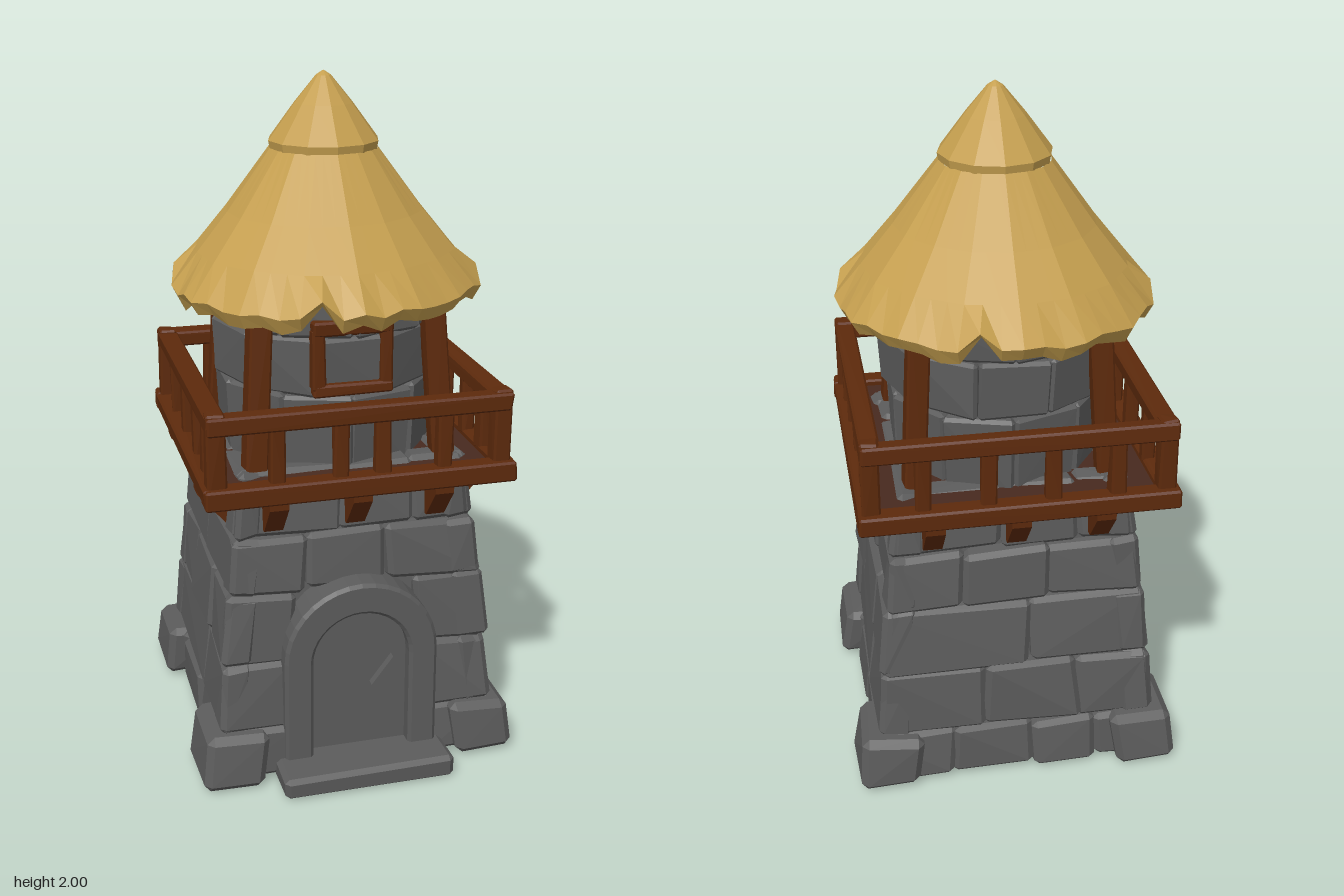
import * as THREE from 'three';
import { ConvexGeometry } from 'three/addons/geometries/ConvexGeometry.js';

export function createModel() {
  const model = new THREE.Group();
  model.name = 'watchtower';
  const tower = new THREE.Group();
  tower.name = 'tower';
  tower.position.z = -0.043;
  model.add(tower);

  const material = (name, color, side = THREE.FrontSide) =>
    new THREE.MeshStandardMaterial({ name, color, side });
  const stone = material('stone', 0x5c5c5c, THREE.DoubleSide);
  const wood = material('wood', 0x5d2a0c);
  const floorWood = material('darkFloorWood', 0x482a1f);
  const thatch = material('thatch', 0xc59f4f);

  let seed = 7;
  const rand = () => (seed = (seed * 16807) % 2147483647) / 2147483647;
  const jit = (a) => (rand() - 0.5) * 2 * a;

  const group = (name, parent = tower) => {
    const g = new THREE.Group();
    g.name = name;
    parent.add(g);
    return g;
  };
  const add = (parent, name, geo, mat) => {
    const flat = geo.index ? geo.toNonIndexed() : geo;
    flat.computeVertexNormals();
    const mesh = new THREE.Mesh(flat, mat);
    mesh.name = name;
    parent.add(mesh);
  };

  // Chamfered, slightly irregular block; map bends it into place
  const straight = (x, y, z) => new THREE.Vector3(x, y, z);
  function block(lo, hi, bevel, wobble, map = straight) {
    const points = [];
    for (let corner = 0; corner < 8; corner++) {
      const s = [corner & 1, (corner >> 1) & 1, (corner >> 2) & 1];
      const off = new THREE.Vector3(jit(wobble), jit(wobble), jit(wobble));
      for (let full = 0; full < 3; full++) {
        const c = s.map((side, k) => {
          const inset = k === full ? 0 : bevel[k];
          return side ? hi[k] - inset : lo[k] + inset;
        });
        points.push(map(...c).add(off));
      }
    }
    return new ConvexGeometry(points);
  }
  const beam = (parent, name, lo, hi, mat = wood) =>
    add(parent, name, block(lo, hi, [0.006, 0.006, 0.006], 0.003), mat);

  // Square lower tower: hollow core and four walls of tapered courses
  const half = (y) => 0.43 - 0.08 * y - 0.02 * y * y;
  const core = new THREE.CylinderGeometry((half(0.9) - 0.035) * Math.SQRT2,
    (half(0) - 0.035) * Math.SQRT2, 0.89, 4, 1, true);
  core.rotateY(Math.PI / 4).translate(0, 0.46, 0);
  add(tower, 'lowerCore', core, stone);

  const courses = [0.015, 0.165, 0.37, 0.575, 0.745, 0.935];
  const splits = [
    [[-1, -0.45, 0.1, 0.55, 1], [-1, -0.25, 0.45, 1], [-1, 0.1, 1], [-1, -0.4, 0.25, 1], [-1, -0.1, 0.5, 1]],
    [[-1, -0.5, 0.15, 1], [-1, 0.3, 1], [-1, -0.35, 0.4, 1], [-1, 0.05, 1], [-1, -0.45, 0.3, 1]],
  ];
  const wallMap = (u, y, d) => new THREE.Vector3(u * half(y), y, half(y) - d);
  for (let side = 0; side < 4; side++) {
    const wall = group(['frontWall', 'leftWall', 'backWall', 'rightWall'][side]);
    wall.rotation.y = side * Math.PI / 2;
    for (let c = 0; c < 5; c++) {
      const doorway = side === 0 && c < 3;
      const cuts = doorway ? [-1, -0.48, 0.48, 1] : splits[side % 2][c];
      for (let i = 0; i + 1 < cuts.length; i++) {
        if (doorway && i === 1) continue;
        const out = jit(0.006) + (c === 4 ? 0.008 : 0);
        add(wall, 'wallStone', block([cuts[i], courses[c], out], [cuts[i + 1], courses[c + 1], 0.09],
          [0.04, 0.014, 0.014], 0.008, wallMap), stone);
      }
    }
  }

  // Big footing stones at the corners
  const footings = group('footings');
  for (const sx of [-1, 1]) for (const sz of [-1, 1]) {
    const map = (x, y, z) => new THREE.Vector3(sx * (x - y * 0.12), y, sz * (z - y * 0.1));
    add(footings, 'cornerFooting', block([0.3, 0.008, 0.235], [0.482, 0.17, 0.468],
      [0.02, 0.02, 0.02], 0.006, map), stone);
  }

  // Arched doorway, door, handle and step
  const entrance = group('entrance');
  const extrude = (shape, depth, z, bevel) => new THREE.ExtrudeGeometry(shape, {
    depth, curveSegments: 9, bevelEnabled: bevel > 0, bevelSize: bevel,
    bevelThickness: bevel, bevelOffset: -bevel, bevelSegments: 1,
  }).translate(0, 0, z);
  const surround = new THREE.Shape();
  surround.moveTo(0.145, 0.01).lineTo(0.23, 0.01).lineTo(0.23, 0.38);
  surround.absarc(0, 0.38, 0.23, 0, Math.PI, false);
  surround.lineTo(-0.23, 0.01).lineTo(-0.145, 0.01).lineTo(-0.145, 0.37);
  surround.absarc(0, 0.37, 0.145, Math.PI, 0, true);
  add(entrance, 'doorSurround', extrude(surround, 0.14, 0.295, 0.01), stone);
  const door = new THREE.Shape();
  door.moveTo(-0.16, 0.01).lineTo(0.16, 0.01).lineTo(0.16, 0.37);
  door.absarc(0, 0.37, 0.16, 0, Math.PI, false);
  add(entrance, 'door', extrude(door, 0.09, 0.31, 0), stone);
  const handle = new THREE.Shape([[0.09, 0.21], [0.115, 0.2], [0.125, 0.3], [0.1, 0.355], [0.035, 0.27]]
    .map((p) => new THREE.Vector2(...p)));
  add(entrance, 'doorHandle', extrude(handle, 0.03, 0.395, 0), stone);
  add(entrance, 'doorStep', block([-0.255, 0, 0.37], [0.255, 0.068, 0.555],
    [0.015, 0.012, 0.015], 0.003), stone);

  // Round upper tower: core and rings of curved stones
  const upper = group('upperTower');
  const upperCore = new THREE.CylinderGeometry(0.31, 0.29, 0.54, 20, 1, true);
  add(upper, 'upperCore', upperCore.translate(0, 1.17, 0), stone);
  const rows = [0.91, 1.14, 1.31, 1.43];
  const arcMap = (a, y, d) => {
    const r = 0.322 + (y - 0.95) * 0.05 - d;
    return new THREE.Vector3(r * Math.sin(a), y, r * Math.cos(a));
  };
  const arc = Math.PI / 5;
  for (let r = 0; r < 3; r++) for (let i = 0; i < 10; i++) {
    const a = (i - 0.5 + (r % 2 ? 0 : 0.5)) * arc;
    const out = jit(0.006);
    add(upper, 'ringStone', block([a, rows[r], out], [a + arc, rows[r + 1], 0.07],
      [0.03, 0.01, 0.01], 0.005, arcMap), stone);
  }

  // Window frame
  const windowGroup = group('window');
  beam(windowGroup, 'windowSill', [-0.118, 1.15, 0.28], [0.112, 1.185, 0.348]);
  beam(windowGroup, 'windowLintel', [-0.118, 1.325, 0.28], [0.112, 1.365, 0.348]);
  for (const x of [-0.1, 0.094]) {
    beam(windowGroup, 'windowJamb', [x - 0.019, 1.17, 0.28], [x + 0.019, 1.34, 0.345]);
  }

  // Leaning posts that carry the roof
  const posts = group('roofPosts');
  for (const sx of [-1, 1]) for (const sz of [-1, 1]) {
    const map = (x, y, z) => {
      const lean = 0.277 - (y - 0.93) * 0.06;
      return new THREE.Vector3(sx * (lean + x), y, sz * (lean + z) + 0.008);
    };
    add(posts, 'roofPost', block([-0.032, 0.92, -0.032], [0.032, 1.42, 0.032],
      [0.006, 0.006, 0.006], 0.003, map), wood);
  }

  // Balcony: floor, then beam, rail, balusters and braces on each side
  const balcony = group('balcony');
  beam(balcony, 'balconyFloor', [-0.42, 0.9, -0.43], [0.42, 0.925, 0.43], floorWood);
  const brace = new THREE.Shape([[0.3, 0.77], [0.36, 0.77], [0.44, 0.865], [0.44, 0.895], [0.385, 0.895], [0.3, 0.82]]
    .map((p) => new THREE.Vector2(...p)));
  const sides = [
    { name: 'frontBalcony', balusters: [-0.24, -0.06, 0.06, 0.24], braces: [-0.24, 0, 0.24] },
    { name: 'leftBalcony', balusters: [-0.29, -0.145, 0.045, 0.235], braces: [-0.24, 0.22] },
    { name: 'backBalcony', balusters: [-0.27, -0.09, 0.09, 0.27], braces: [-0.24, 0, 0.24] },
    { name: 'rightBalcony', balusters: [-0.235, -0.045, 0.145, 0.29], braces: [-0.22, 0.24] },
  ];
  sides.forEach(({ name, balusters, braces }, side) => {
    const edge = group(name, balcony);
    edge.rotation.y = side * Math.PI / 2;
    const ends = side % 2; // left and right sides run between the longer ones
    const l = ends ? 0.445 : 0.45;
    const o = ends ? 0 : 0.01;
    beam(edge, 'floorBeam', [-l, 0.89, 0.388 + o], [l, 0.945, 0.45 + o]);
    beam(edge, 'handRail', [-l + 0.015, 1.1, 0.38 + o], [l - 0.015, 1.15, 0.437 + o]);
    beam(edge, 'cornerPost', [0.385, 0.92, 0.385], [0.437, 1.158, 0.437]);
    for (const x of balusters) {
      beam(edge, 'baluster', [x - 0.022, 0.93, 0.388 + o], [x + 0.022, 1.11, 0.428 + o]);
    }
    for (const x of braces) {
      add(edge, 'brace', extrude(brace, 0.055, -0.0275, 0).rotateY(-Math.PI / 2).translate(x, 0, 0), wood);
    }
  });

  // Thatched roof: broad uneven facets, ragged rim and narrow splits
  const roof = group('roof');
  const FACETS = 16;
  const SEG = FACETS * 3;
  const profile = [[0.2, 1.62], [0.3, 1.5], [0.4, 1.385], [0.43, 1.36], [0.453, 1.4], [0.376, 1.5],
    [0.285, 1.612], [0.157, 1.787]].map((p) => new THREE.Vector2(...p));
  const bulge = Array.from({ length: FACETS }, () => jit(0.022));
  const ragged = Array.from({ length: SEG }, (_, i) => (i % 12 === 10 ? 0.065 : jit(0.016)));
  const thatchGeo = new THREE.LatheGeometry(profile, SEG);
  const pos = thatchGeo.attributes.position;
  for (let v = 0; v < pos.count; v++) {
    const i = Math.floor(v / profile.length) % SEG;
    const ring = v % profile.length;
    const f = Math.floor(i / 3);
    const t = (i % 3) / 3;
    const chord = Math.cos(Math.PI / FACETS) / Math.cos((t - 0.5) * 2 * Math.PI / FACETS);
    const wide = 1 + THREE.MathUtils.lerp(bulge[f], bulge[(f + 1) % FACETS], t);
    const k = ring > 1 ? chord * (ring < 7 ? wide : 1) : 1;
    const lift = ring === 2 || ring === 3 ? ragged[i] : ring === 4 ? Math.max(ragged[i] * 0.7, -0.008) : 0;
    const pull = 1 - Math.max(0, lift - 0.03) * 0.9;
    pos.setXYZ(v, pos.getX(v) * k * pull, pos.getY(v) + lift, pos.getZ(v) * k * pull);
  }
  add(roof, 'thatch', thatchGeo, thatch);

  // Pointed cap over the thatch
  const cap = [[0.08, 1.785], [0.157, 1.785], [0.161, 1.808], [0.085, 1.91], [0.022, 1.986], [0, 2]]
    .map((p) => new THREE.Vector2(...p));
  add(roof, 'roofCap', new THREE.LatheGeometry(cap, 12), thatch);

  return model;
}
